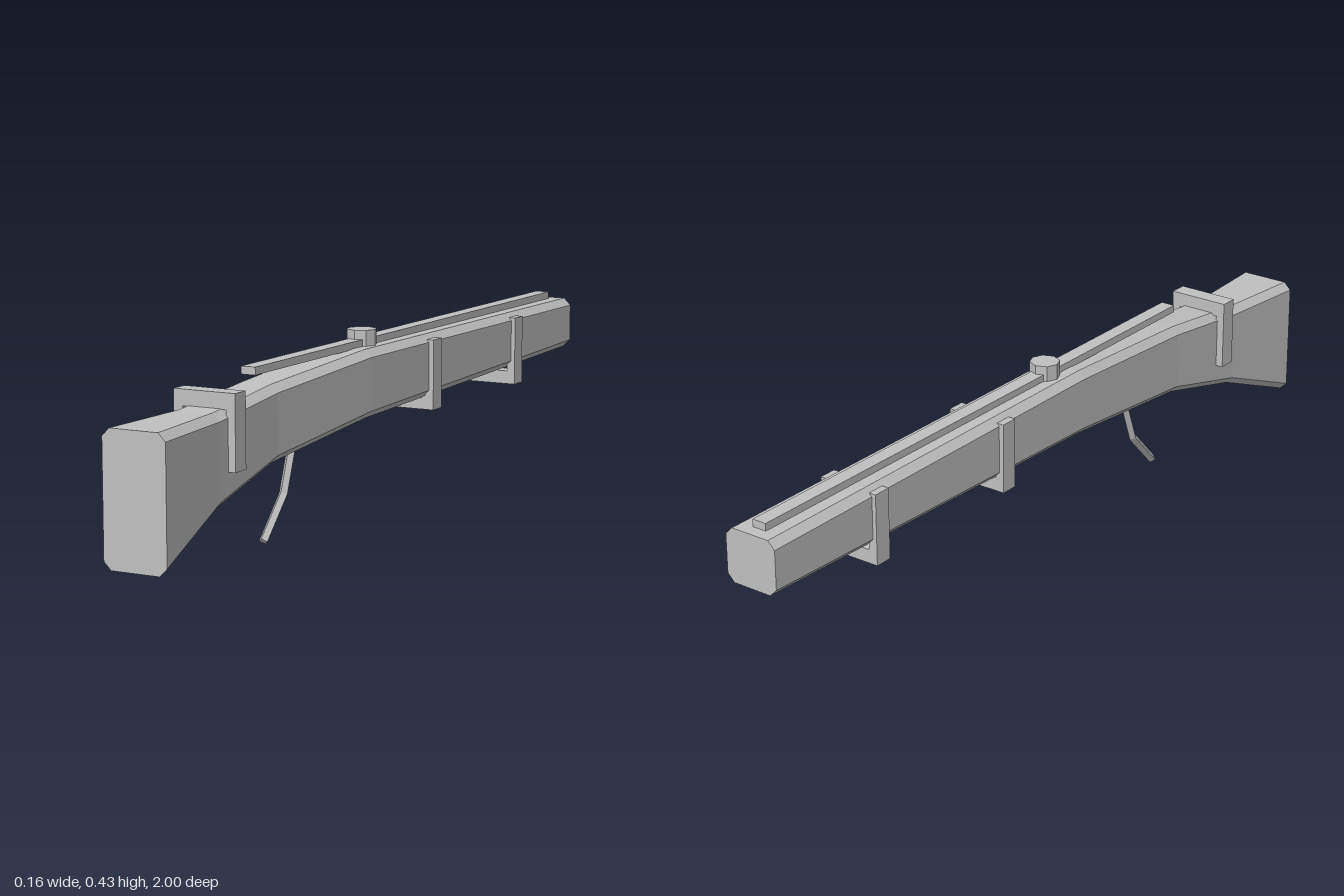
import * as THREE from 'three';

const grey = new THREE.MeshStandardMaterial({ color: 0xc0c0c0 });
grey.name = 'plain grey';
grey.flatShading = true;

function part(name, geometry, x = 0, y = 0, z = 0) {
  const mesh = new THREE.Mesh(geometry, grey);
  mesh.name = name;
  mesh.position.set(x, y, z);
  return mesh;
}

// Box given by its limits, centred on x = cx
function box(name, cx, width, y0, y1, z0, z1) {
  return part(name, new THREE.BoxGeometry(width, y1 - y0, z1 - z0), cx, (y0 + y1) / 2, (z0 + z1) / 2);
}

// Chamfered beam lofted through sections [z, bottom, top, half width]
function stockGeometry(sections, c) {
  const rings = sections.map(([z, b, t, w]) => [
    [w - c, b], [w, b + c], [w, t - c], [w - c, t],
    [c - w, t], [-w, t - c], [-w, b + c], [c - w, b],
  ].map(([x, y]) => [x, y, z]));
  const pos = [];
  const tri = (...pts) => pts.forEach((p) => pos.push(...p));
  for (let i = 0; i < rings.length - 1; i++) {
    const a = rings[i], d = rings[i + 1];
    for (let j = 0; j < 8; j++) {
      const k = (j + 1) % 8;
      tri(a[j], d[j], d[k]);
      tri(a[j], d[k], a[k]);
    }
  }
  // end caps
  const front = rings[0], back = rings[rings.length - 1];
  for (let j = 1; j < 7; j++) {
    tri(front[0], front[j], front[j + 1]);
    tri(back[0], back[j + 1], back[j]);
  }
  const g = new THREE.BufferGeometry();
  g.setAttribute('position', new THREE.Float32BufferAttribute(pos, 3));
  g.computeVertexNormals();
  return g;
}

// U-shaped band: two side legs joined by a bar at the top or the bottom
function band(name, z, barAtTop) {
  const g = new THREE.Group();
  g.name = name;
  const z0 = z - 0.022, z1 = z + 0.022, low = 0.21, high = 0.381;
  for (const s of [-1, 1]) g.add(box('bandLeg', s * 0.066, 0.022, low, high, z0, z1));
  g.add(barAtTop
    ? box('bandBar', 0, 0.154, high - 0.037, high, z0, z1)
    : box('bandBar', 0, 0.154, low, low + 0.033, z0, z1));
  return g;
}

export function createModel() {
  const model = new THREE.Group();
  model.name = 'stockModel';

  // butt, wrist and long fore-end
  model.add(part('stock', stockGeometry([
    [1, 0.037, 0.338, 0.078],
    [0.76, 0.132, 0.342, 0.06],
    [0.51, 0.193, 0.368, 0.055],
    [0.1, 0.231, 0.393, 0.064],
    [-1, 0.262, 0.391, 0.068],
  ], 0.018)));

  // rail and nut along the top
  model.add(box('rail', 0, 0.036, 0.391, 0.409, -0.97, 0.545));
  model.add(part('nut', new THREE.CylinderGeometry(0.036, 0.036, 0.041, 8), 0, 0.41, 0.03));

  // bands
  model.add(band('buttBand', 0.705, true));
  model.add(band('middleBand', -0.21, false));
  model.add(band('endBand', -0.663, false));

  // bent trigger lever made of two square rods
  const trigger = new THREE.Group();
  trigger.name = 'trigger';
  const points = [[0.215, 0.355], [0.1, 0.397], [0.008, 0.485]].map(([y, z]) => new THREE.Vector3(0, y, z));
  for (let i = 0; i < 2; i++) {
    const dir = points[i].clone().sub(points[i + 1]);
    const rod = part('triggerRod', new THREE.CylinderGeometry(0.011, 0.011, dir.length() + 0.003, 4));
    rod.position.copy(points[i]).add(points[i + 1]).multiplyScalar(0.5);
    rod.quaternion.setFromUnitVectors(new THREE.Vector3(0, 1, 0), dir.normalize());
    trigger.add(rod);
  }
  model.add(trigger);
  return model;
}
